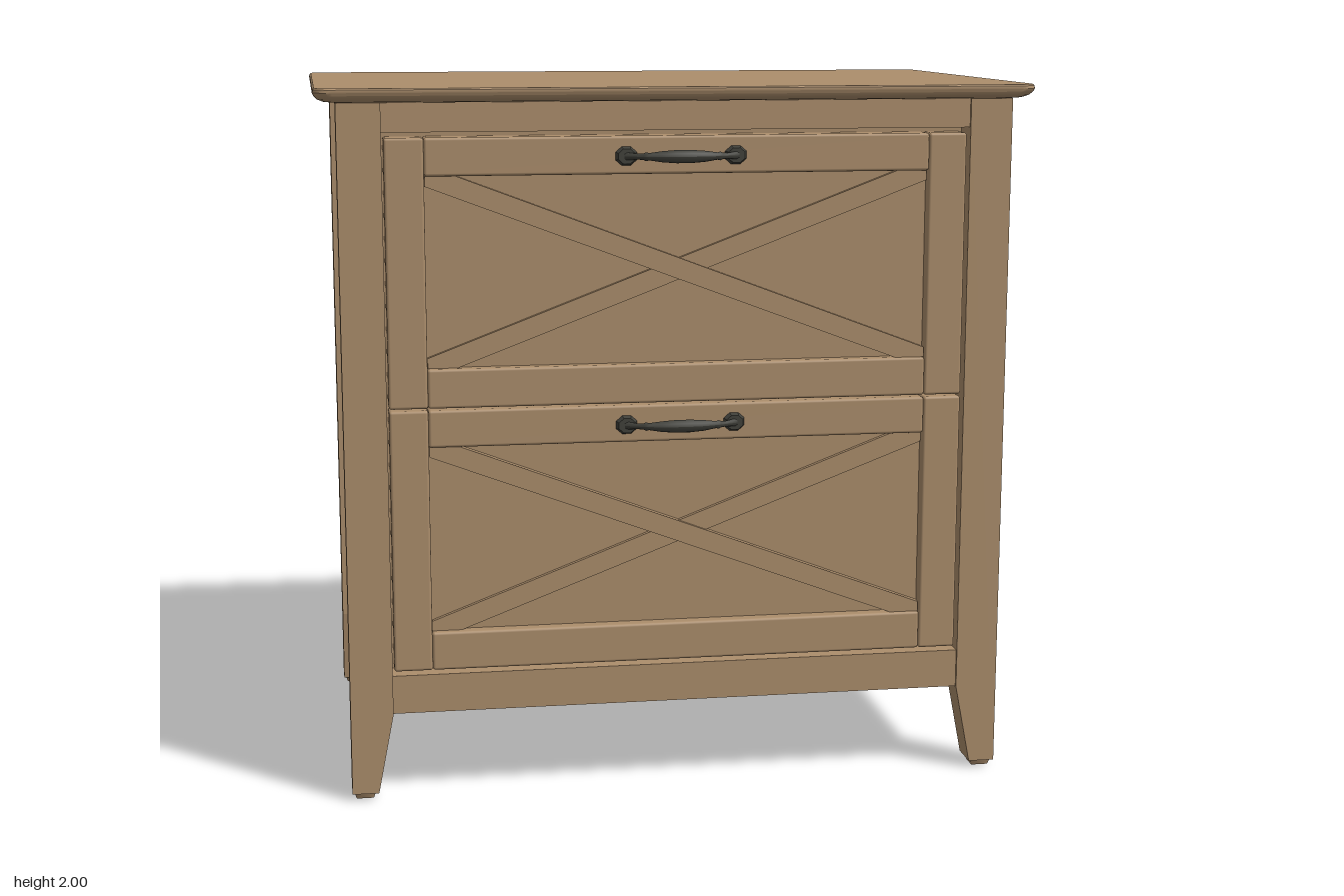
import * as THREE from 'three';
import { RoundedBoxGeometry } from 'three/addons/geometries/RoundedBoxGeometry.js';
import { toCreasedNormals } from 'three/addons/utils/BufferGeometryUtils.js';

const wood = new THREE.MeshStandardMaterial({ color: 0xac8e6c });
wood.name = 'oak wood';
const iron = new THREE.MeshStandardMaterial({ color: 0x40403a });
iron.name = 'dark iron';

export function createModel() {
  const root = new THREE.Group();
  root.name = 'drawerCabinet';

  const add = (parent, name, geometry, material = wood) => {
    const mesh = new THREE.Mesh(geometry, material);
    mesh.name = name;
    parent.add(mesh);
    return mesh;
  };
  // Box given by its limits; a radius rounds its edges
  const box = (parent, name, x0, x1, y0, y1, z0, z1, r = 0) => {
    const size = [x1 - x0, y1 - y0, z1 - z0];
    const g = r ? new RoundedBoxGeometry(...size, 2, r) : new THREE.BoxGeometry(...size);
    g.translate((x0 + x1) / 2, (y0 + y1) / 2, (z0 + z1) / 2);
    return add(parent, name, g);
  };
  const polygon = (pts) => new THREE.Shape(pts.map(([x, y]) => new THREE.Vector2(x, y)));
  const extrude = (shape, depth, curveSegments = 24) =>
    new THREE.ExtrudeGeometry(shape, { depth, bevelEnabled: false, curveSegments });

  // Table top: rounded rectangle loops, curving in underneath
  const topLoops = [[0.05, 1.96], [0.028, 1.963], [0.012, 1.97], [0.003, 1.98], [0, 1.988], [0.001, 1.996], [0.005, 2]];
  const steps = 6, count = 4 * (steps + 1);
  const pos = [], idx = [];
  for (const [inset, y] of topLoops) {
    for (let c = 0; c < 4; c++) {
      for (let i = 0; i <= steps; i++) {
        const a = (c + i / steps) * Math.PI / 2;
        const sx = c === 0 || c === 3 ? 1 : -1, sz = c < 2 ? 1 : -1;
        pos.push(sx * (0.95 - inset) + 0.05 * Math.cos(a), y, sz * (0.607 - inset) + 0.05 * Math.sin(a));
      }
    }
  }
  for (let l = 0; l < topLoops.length - 1; l++) {
    for (let i = 0; i < count; i++) {
      const a = l * count + i, b = l * count + (i + 1) % count;
      idx.push(a, a + count, b, b, a + count, b + count);
    }
  }
  const last = (topLoops.length - 1) * count;
  for (let i = 1; i < count - 1; i++) {
    idx.push(0, i, i + 1, last, last + i + 1, last + i);
  }
  const topGeo = new THREE.BufferGeometry();
  topGeo.setAttribute('position', new THREE.Float32BufferAttribute(pos, 3));
  topGeo.setIndex(idx);
  add(root, 'tableTop', toCreasedNormals(topGeo, 0.6));

  // Legs, feet and side panels, mirrored
  for (const s of [1, -1]) {
    const front = extrude(polygon([[s * 0.94, 0.02], [s * 0.94, 1.96], [s * 0.82, 1.96], [s * 0.82, 0.25], [s * 0.865, 0.02]]), 0.09);
    add(root, 'frontLeg', front.translate(0, 0, 0.518));
    const rear = extrude(polygon([[-0.585, 0.02], [-0.585, 1.96], [-0.45, 1.96], [-0.45, 0.25], [-0.49, 0.02]]), 0.07);
    rear.rotateY(-Math.PI / 2).translate(s > 0 ? 0.94 : -0.87, 0, 0);
    add(root, 'rearLeg', rear);
    for (const z of [0.563, -0.538]) {
      const foot = new THREE.CylinderGeometry(0.043, 0.034, 0.02, 4).rotateY(Math.PI / 4);
      add(root, 'foot', foot).position.set(s * 0.904, 0.01, z);
    }
    const xs = (a, b) => (s > 0 ? [a, b] : [-b, -a]);
    box(root, 'sidePanel', ...xs(0.86, 0.89), 0.25, 1.96, -0.5, 0.53);
    box(root, 'backStrip', ...xs(0.81, 0.872), 0.25, 1.96, -0.57, -0.45);
  }

  // Case rails, floor and inner back
  box(root, 'topRail', -0.82, 0.82, 1.88, 1.96, 0.5, 0.6);
  box(root, 'bottomRail', -0.82, 0.82, 0.25, 0.36, 0.52, 0.6);
  box(root, 'floorPanel', -0.87, 0.87, 0.265, 0.29, -0.56, 0.53);
  box(root, 'innerBack', -0.82, 0.82, 0.28, 1.96, -0.53, -0.51);
  box(root, 'innerFront', -0.82, 0.82, 0.3, 1.95, 0.5, 0.52);

  // Back panels, each with a round cable hole
  for (const [y0, y1, holeY, screwY] of [[0.27, 1.075, 0.65, 0.29], [1.081, 1.96, 1.515, 1.092]]) {
    const shape = polygon([[-0.81, y0], [0.81, y0], [0.81, y1], [-0.81, y1]]);
    const hole = new THREE.Path();
    hole.absarc(0, holeY, 0.07, 0, Math.PI * 2, true);
    shape.holes.push(hole);
    add(root, 'backPanel', extrude(shape, 0.02).translate(0, 0, -0.578));
    for (const x of [-0.69, 0, 0.69]) {
      const screw = new THREE.CylinderGeometry(0.011, 0.011, 0.006, 12).rotateX(Math.PI / 2);
      add(root, 'backScrew', screw).position.set(x, screwY, -0.579);
    }
  }

  // Drawer fronts: frame, recessed panel, crossed braces and pull
  for (const y of [0.37, 1.12]) {
    const drawer = new THREE.Group();
    drawer.name = 'drawerFront';
    drawer.position.y = y;
    root.add(drawer);
    const h = 0.745, lo = 0.11, hi = 0.64, z = 0.595;
    for (const s of [1, -1]) box(drawer, 'stile', s * 0.76 - 0.054, s * 0.76 + 0.054, 0, h, 0.52, z, 0.008);
    box(drawer, 'lowerRail', -0.706, 0.706, 0, lo, 0.52, z, 0.008);
    box(drawer, 'upperRail', -0.706, 0.706, hi, h, 0.52, z, 0.008);
    box(drawer, 'recessedPanel', -0.71, 0.71, 0.05, 0.69, 0.52, 0.56);
    for (const s of [1, -1]) {
      const brace = polygon([[-s * 0.704, hi], [-s * 0.62, hi], [s * 0.704, lo + 0.028], [s * 0.704, lo], [s * 0.62, lo], [-s * 0.704, hi - 0.028]]);
      add(drawer, 'crossBrace', extrude(brace, s > 0 ? 0.03 : 0.018).translate(0, 0, 0.557));
    }
    addHandle(drawer, 0.69, z);
  }

  // Bow handle with swollen grip and faceted end plates
  function addHandle(parent, y, z) {
    const handle = new THREE.Group();
    handle.name = 'handle';
    handle.position.set(0, y, z);
    parent.add(handle);
    const half = [[0.16, 0.012], [0.145, 0.01], [0.125, 0.008], [0.11, 0.009], [0.103, 0.012], [0.095, 0.01], [0.06, 0.015], [0.02, 0.018]];
    const profile = [...half.map(([x, r]) => [-x, r]), ...half.slice().reverse()];
    const bar = new THREE.LatheGeometry(profile.map(([x, r]) => new THREE.Vector2(r, x)), 12).rotateZ(-Math.PI / 2);
    const p = bar.attributes.position;
    for (let i = 0; i < p.count; i++) {
      const t = Math.min(1, Math.abs(p.getX(i)) / 0.16);
      p.setZ(i, p.getZ(i) * 0.75 + 0.046 - 0.038 * t ** 3);
    }
    bar.computeVertexNormals();
    add(handle, 'grip', bar, iron);
    for (const s of [1, -1]) {
      const plate = new THREE.CylinderGeometry(0.022, 0.028, 0.016, 8).rotateX(Math.PI / 2).rotateZ(Math.PI / 8);
      const mesh = add(handle, 'endPlate', toCreasedNormals(plate, 0.4), iron);
      mesh.scale.x = 1.15;
      mesh.position.set(s * 0.153, 0, 0.008);
    }
  }

  return root;
}
